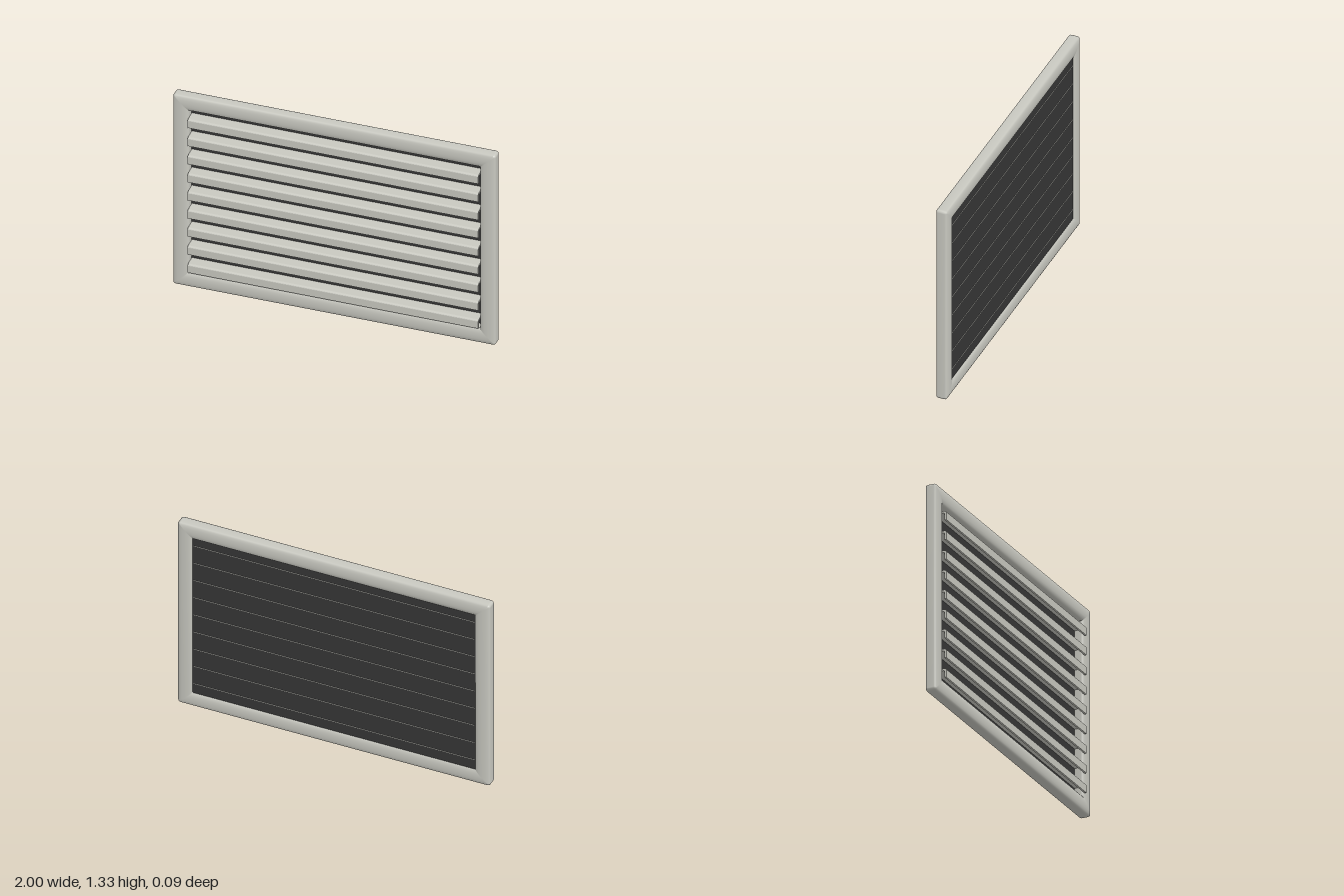
import * as THREE from 'three';

const W = 2, H = 1.332, BORDER = 0.1;
const SLATS = 9, PITCH = 0.127, FIRST_TOP = 0.171;

// Rounded rectangle loop, inset from the outer edge by d
function loopPoints(d) {
  const r = Math.max(0.018 - d, 0.003), steps = 4, pts = [];
  const hx = W / 2 - d - r, hy = H / 2 - d - r;
  [[1, 1], [-1, 1], [-1, -1], [1, -1]].forEach(([sx, sy], q) => {
    for (let i = 0; i <= steps; i++) {
      const a = (q + i / steps) * Math.PI / 2;
      pts.push([sx * hx + r * Math.cos(a), H / 2 + sy * hy + r * Math.sin(a)]);
    }
  });
  return pts;
}

// Pillow-shaped frame: a closed profile carried round the rectangle
function frameGeometry() {
  const half = [
    [0, 0.022], [0.004, 0.03], [0.014, 0.035], [0.03, 0.038], [0.05, 0.039],
    [0.07, 0.038], [0.088, 0.034], [0.097, 0.027], [0.1, 0.018],
  ];
  const mid = -0.007;
  const profile = [
    ...half.map(([d, z]) => [d, mid + z]),
    ...half.slice().reverse().map(([d, z]) => [d, mid - z]),
  ];
  const pos = [], idx = [];
  let n = 0;
  for (const [d, z] of profile) {
    const pts = loopPoints(d);
    n = pts.length;
    for (const [x, y] of pts) pos.push(x, y, z);
  }
  const m = profile.length;
  for (let j = 0; j < m; j++) {
    for (let i = 0; i < n; i++) {
      const i2 = (i + 1) % n, j2 = (j + 1) % m;
      const a = j * n + i, b = j * n + i2, c = j2 * n + i2, e = j2 * n + i;
      idx.push(a, b, c, a, c, e);
    }
  }
  const geo = new THREE.BufferGeometry();
  geo.setAttribute('position', new THREE.Float32BufferAttribute(pos, 3));
  geo.setIndex(idx);
  geo.computeVertexNormals();
  return geo;
}

// Hooked slat: a flat shelf with a lip hanging down at the front
function slatGeometry() {
  const s = new THREE.Shape();
  s.moveTo(-0.036, -0.006);
  s.lineTo(-0.036, -0.009);
  s.lineTo(-0.03, -0.013);
  s.lineTo(0.032, -0.013);
  s.lineTo(0.036, -0.017);
  s.lineTo(0.036, -0.058);
  s.lineTo(0.048, -0.058);
  s.lineTo(0.048, -0.01);
  s.quadraticCurveTo(0.047, -0.003, 0.036, 0);
  s.lineTo(-0.03, 0);
  s.closePath();
  const geo = new THREE.ExtrudeGeometry(s, {
    depth: W - 2 * BORDER, bevelEnabled: false, curveSegments: 4,
  });
  geo.rotateY(-Math.PI / 2);
  geo.translate(W / 2 - BORDER, 0, 0);
  return geo;
}

export function createModel() {
  const paint = new THREE.MeshStandardMaterial({ color: 0xc8c8c0 });
  paint.name = 'warm grey paint';
  const dark = new THREE.MeshStandardMaterial({ color: 0x363636 });
  dark.name = 'dark backing';

  const model = new THREE.Group();
  model.name = 'louvredVent';
  const add = (name, geo, mat, y, z) => {
    const mesh = new THREE.Mesh(geo, mat);
    mesh.name = name;
    mesh.position.set(0, y, z);
    model.add(mesh);
  };

  // Surround
  add('frame', frameGeometry(), paint, 0, 0);

  // Dark sheet behind the slats
  add('backPanel', new THREE.BoxGeometry(W - 2 * BORDER + 0.01, H - 2 * BORDER + 0.01, 0.004),
    dark, H / 2, -0.033);

  // Row of slats
  const slat = slatGeometry();
  for (let i = 0; i < SLATS; i++) add('slat' + (i + 1), slat, paint, FIRST_TOP + i * PITCH, 0);

  return model;
}
